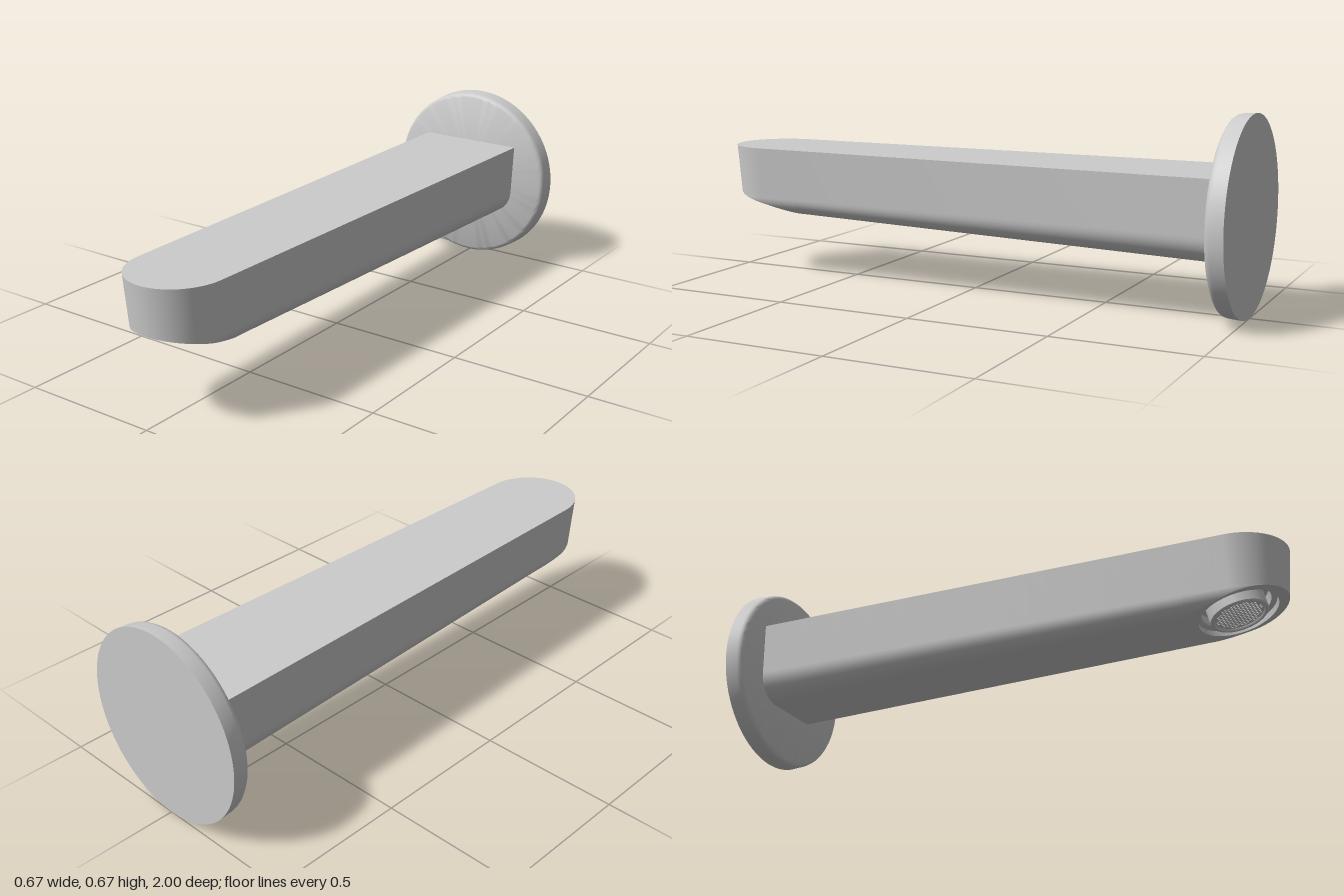
import * as THREE from 'three';
import { toCreasedNormals } from 'three/addons/utils/BufferGeometryUtils.js';

const TOP = 0.48, CUT_Z = 0.67, TIP_Z = 0.82, SLOPE = 0.245;
const HOLE_R = 0.138, HOLE_Z = 0.815, TILT = Math.atan(SLOPE);
const { lerp, clamp } = THREE.MathUtils;

const material = new THREE.MeshStandardMaterial({ color: 0xcccccc, side: THREE.DoubleSide });

function add(parent, name, geometry) {
  const mesh = new THREE.Mesh(geometry, material);
  mesh.name = name;
  parent.add(mesh);
  return mesh;
}

function lathe(points, segments = 64) {
  const geo = new THREE.LatheGeometry(points.map(p => new THREE.Vector2(...p)), segments);
  return toCreasedNormals(geo, 0.6);
}

// Spout rules along its length
const along = z => clamp((z + 0.935) / (CUT_Z + 0.935), 0, 1);
const base = z => lerp(0.197, 0.234, along(z));
const cut = z => 0.234 + SLOPE * (z - CUT_Z);
const bottom = z => Math.max(base(z), cut(z));
const halfWidth = z => lerp(0.2, 0.17, (z + 0.935) / (TIP_Z + 0.935));

// Plan outline: right-hand side, rounded tip, other side; each entry is a function of the inset
function planStations() {
  const zs = [];
  for (let i = 0; i < 12; i++) zs.push(lerp(-0.95, CUT_Z, i / 12));
  for (let i = 0; i < 12; i++) zs.push(lerp(CUT_Z, TIP_Z, (i / 12) ** 2));
  const side = s => zs.map(z => d => [s * (halfWidth(z) - d), z]);
  const tip = [];
  for (let i = 0; i <= 40; i++) {
    const a = Math.PI * i / 40;
    tip.push(d => [(0.17 - d) * Math.cos(a), TIP_Z + (0.18 - d) * Math.sin(a)]);
  }
  return [...side(1), ...tip, ...side(-1).reverse()];
}

// One column of the wall: tapered side, then a rounded lower corner ending at the underside
function wallColumn(at) {
  const ROWS = 10, MIN = 0.06;
  const z = at(0.02)[1];
  const r = lerp(0.095, 0.062, along(z));
  const taper = lerp(0.007, 0.014, along(z));
  const wallEnd = Math.max(base(z) + r, cut(z) + r * Math.sin(MIN));
  const end = Math.max(MIN, Math.asin(clamp((wallEnd - bottom(z)) / r, 0, 1)));
  const column = [[at(0)[0], TOP, at(0)[1]]];
  for (let i = 0; i <= ROWS; i++) {
    const a = end * i / ROWS;
    const [x, pz] = at(taper + r * (1 - Math.cos(a)));
    column.push([x, i === ROWS ? bottom(pz) : wallEnd - r * Math.sin(a), pz]);
  }
  return column;
}

function wallGeometry(columns) {
  const n = columns[0].length, index = [];
  for (let i = 0; i < columns.length - 1; i++) {
    for (let j = 0; j < n - 1; j++) {
      const a = i * n + j, b = a + n;
      index.push(a, b, a + 1, b, b + 1, a + 1);
    }
  }
  const geo = new THREE.BufferGeometry();
  geo.setAttribute('position', new THREE.Float32BufferAttribute(columns.flat(2), 3));
  geo.setIndex(index);
  geo.computeVertexNormals();
  return geo;
}

// Flat underside piece whose height follows the bottom rule
function undersideGeometry(points, hole) {
  const shape = new THREE.Shape(points.map(p => new THREE.Vector2(p[0], p[2])));
  if (hole) shape.holes.push(hole);
  const geo = new THREE.ShapeGeometry(shape, 32).rotateX(Math.PI / 2);
  const pos = geo.attributes.position;
  for (let i = 0; i < pos.count; i++) pos.setY(i, bottom(pos.getZ(i)));
  geo.computeVertexNormals();
  return geo;
}

function buildSpout() {
  const spout = new THREE.Group();
  spout.name = 'spout';
  const columns = planStations().map(wallColumn);
  add(spout, 'spoutWall', wallGeometry(columns));

  const topShape = new THREE.Shape(columns.map(c => new THREE.Vector2(c[0][0], -c[0][2])));
  add(spout, 'spoutTop', new THREE.ShapeGeometry(topShape).rotateX(-Math.PI / 2).translate(0, TOP, 0));

  const edge = columns.map(c => c[c.length - 1]);
  const hole = new THREE.Path();
  hole.absellipse(0, HOLE_Z, HOLE_R, HOLE_R * Math.cos(TILT), 0, Math.PI * 2, true);
  add(spout, 'spoutUnderside', undersideGeometry(edge.filter(p => p[2] <= CUT_Z + 1e-6)));
  add(spout, 'outletFace', undersideGeometry(edge.filter(p => p[2] >= CUT_Z - 1e-6), hole));
  return spout;
}

// Recess, ring and perforated screen, square to the sloping outlet face
function buildOutlet() {
  const outlet = new THREE.Group();
  outlet.name = 'outlet';
  outlet.position.set(0, cut(HOLE_Z), HOLE_Z);
  outlet.rotation.x = -TILT;

  add(outlet, 'outletRecess', lathe([[0, 0.06], [0.12, 0.06], [0.12, 0.025], [HOLE_R, 0.02], [HOLE_R, 0]]));
  add(outlet, 'aeratorRing', lathe([
    [0.085, 0.03], [0.085, -0.008], [0.088, -0.013], [0.096, -0.013], [0.1, -0.009], [0.1, 0.06]]));

  const disc = new THREE.Shape();
  disc.absarc(0, 0, 0.086, 0, Math.PI * 2);
  const step = 0.0125;
  for (let row = -7; row <= 7; row++) {
    for (let col = -7; col <= 7; col++) {
      const x = (col + (row & 1) / 2) * step, y = row * step * 0.866;
      if (Math.hypot(x, y) > 0.078) continue;
      const hole = [];
      for (let k = 0; k < 6; k++) {
        const a = -k * Math.PI / 3;
        hole.push(new THREE.Vector2(x + 0.0045 * Math.cos(a), y + 0.0045 * Math.sin(a)));
      }
      disc.holes.push(new THREE.Path(hole));
    }
  }
  const screen = new THREE.ExtrudeGeometry(disc, { depth: 0.006, bevelEnabled: false, curveSegments: 32 });
  add(outlet, 'aeratorScreen', screen.rotateX(Math.PI / 2));
  return outlet;
}

export function createModel() {
  const model = new THREE.Group();
  model.name = 'wallSpout';

  // Round wall plate with a softened front edge
  const plate = add(model, 'wallPlate', lathe([
    [0, 0], [0.336, 0], [0.333, 0.045], [0.331, 0.054], [0.326, 0.061], [0.318, 0.065], [0, 0.065]], 96));
  plate.rotation.x = Math.PI / 2;
  plate.position.set(0, 0.336, -1);

  model.add(buildSpout(), buildOutlet());
  return model;
}
